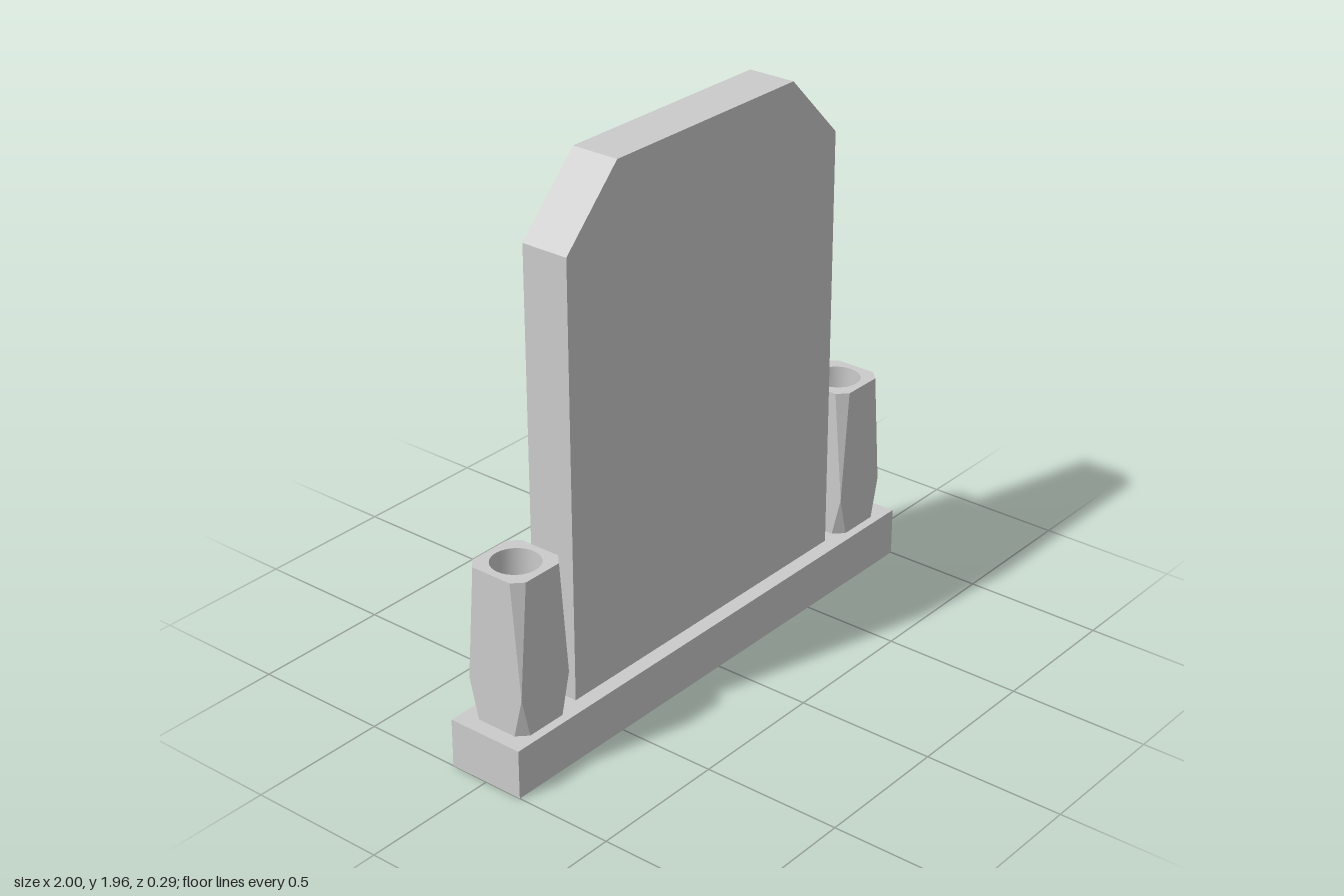
import * as THREE from 'three';

const material = new THREE.MeshStandardMaterial({ color: 0xcccccc, flatShading: true });
const smooth = new THREE.MeshStandardMaterial({ color: 0xcccccc, side: THREE.DoubleSide });

const BASE_TOP = 0.175, VASE_TOP = 0.73;
const HALF = 0.111, CHAMFER = 0.035, BORE = 0.083, BORE_FLOOR = 0.25;

function addMesh(parent, name, geometry, mat = material) {
  const mesh = new THREE.Mesh(geometry, mat);
  mesh.name = name;
  parent.add(mesh);
  return mesh;
}

// Square outline with cut corners, counter-clockwise
function cutSquare(h, c) {
  const k = h - c;
  return [[h, -k], [h, k], [k, h], [-k, h], [-h, k], [-h, -k], [-k, -h], [k, -h]]
    .map(([x, y]) => new THREE.Vector2(x, y));
}

// Vase sides: corner cuts taper to a sharp corner and open again
function vaseSides() {
  const levels = [[BASE_TOP, CHAMFER], [0.32, 0], [VASE_TOP, CHAMFER]];
  const positions = [], index = [];
  for (const [y, c] of levels) {
    for (const p of cutSquare(HALF, c)) positions.push(p.x, y, -p.y);
  }
  for (let level = 0; level < levels.length - 1; level++) {
    for (let i = 0; i < 8; i++) {
      const a = level * 8 + i, b = level * 8 + (i + 1) % 8;
      index.push(a, b, b + 8, a, b + 8, a + 8);
    }
  }
  const geometry = new THREE.BufferGeometry();
  geometry.setAttribute('position', new THREE.Float32BufferAttribute(positions, 3));
  geometry.setIndex(index);
  const flat = geometry.toNonIndexed();
  flat.computeVertexNormals();
  return flat;
}

function createVase(name) {
  const vase = new THREE.Group();
  vase.name = name;
  addMesh(vase, 'vaseSides', vaseSides());

  // Rim with a round opening
  const rim = new THREE.Shape(cutSquare(HALF, CHAMFER));
  rim.holes.push(new THREE.Path().absarc(0, 0, BORE, 0, Math.PI * 2, true));
  addMesh(vase, 'vaseRim', new THREE.ShapeGeometry(rim, 16)
    .rotateX(-Math.PI / 2).translate(0, VASE_TOP, 0));

  // Round bore and its floor
  const depth = VASE_TOP - BORE_FLOOR;
  addMesh(vase, 'vaseBore', new THREE.CylinderGeometry(BORE, BORE, depth, 32, 1, true)
    .translate(0, BORE_FLOOR + depth / 2, 0), smooth);
  addMesh(vase, 'vaseFloor', new THREE.CircleGeometry(BORE, 32)
    .rotateX(-Math.PI / 2).translate(0, BORE_FLOOR, 0));
  return vase;
}

export function createModel() {
  const model = new THREE.Group();
  model.name = 'headstone';

  // Plinth
  addMesh(model, 'plinth', new THREE.BoxGeometry(2, BASE_TOP, 0.286).translate(0, BASE_TOP / 2, 0));

  // Upright tablet with clipped shoulders
  const outline = new THREE.Shape([
    [-0.667, BASE_TOP], [0.667, BASE_TOP], [0.667, 1.72],
    [0.432, 1.96], [-0.432, 1.96], [-0.667, 1.72],
  ].map(([x, y]) => new THREE.Vector2(x, y)));
  const thickness = 0.175;
  addMesh(model, 'tablet', new THREE.ExtrudeGeometry(outline, { depth: thickness, bevelEnabled: false })
    .translate(0, 0, -thickness / 2));

  // Vases on both ends of the plinth
  for (const side of [-1, 1]) {
    const vase = createVase(side > 0 ? 'leftVase' : 'rightVase');
    vase.position.x = side * 0.833;
    model.add(vase);
  }
  return model;
}
